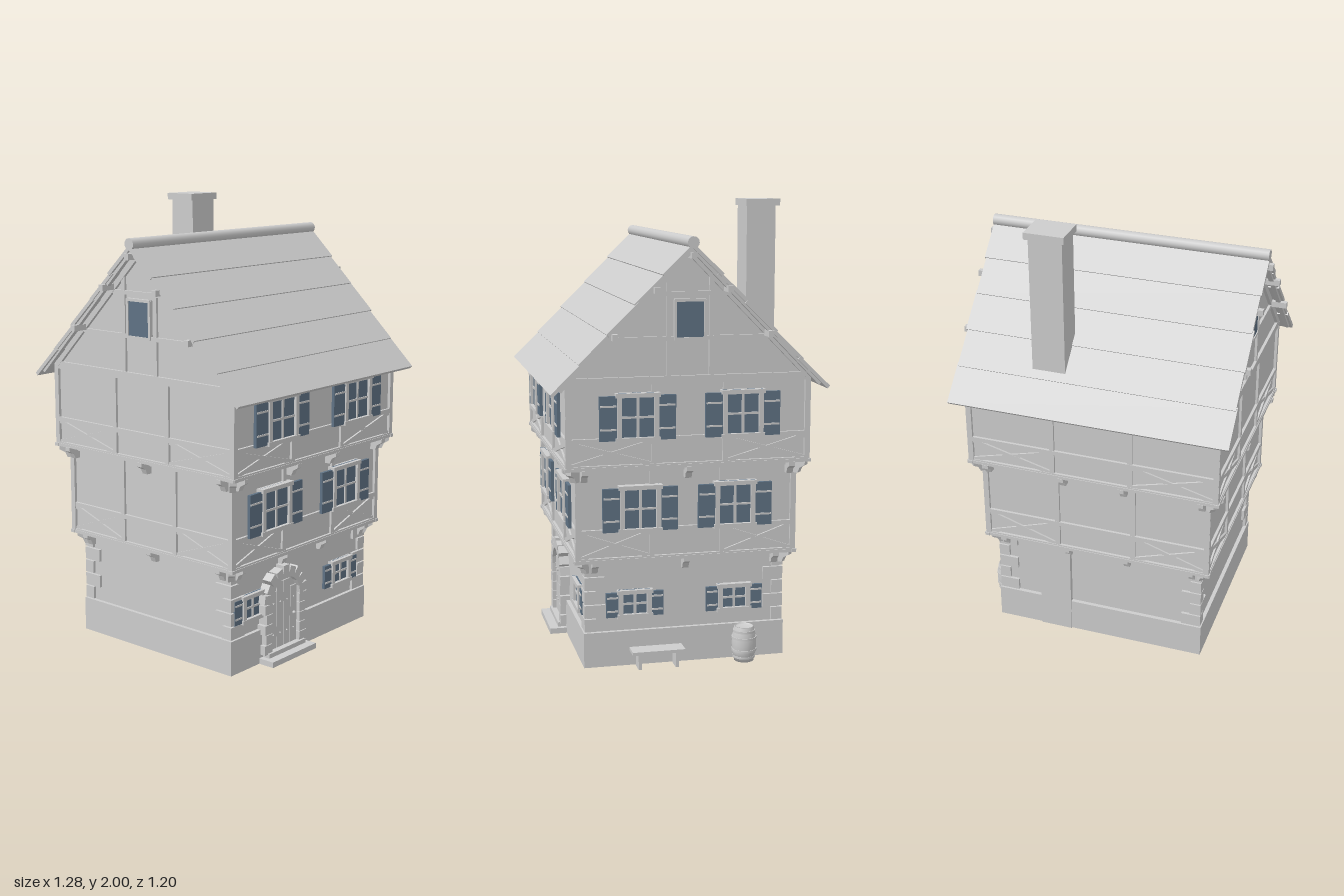
import * as THREE from 'three';

const stone = new THREE.MeshStandardMaterial({ color: 0xcccccc });
stone.name = 'pale grey';
const blue = new THREE.MeshStandardMaterial({ color: 0x5f7284 });
blue.name = 'slate blue';

function add(parent, name, geometry, mat = stone, x = 0, y = 0, z = 0) {
  const mesh = new THREE.Mesh(geometry, mat);
  mesh.name = name;
  mesh.position.set(x, y, z);
  parent.add(mesh);
  return mesh;
}
const box = (parent, name, w, h, d, x, y, z, mat) =>
  add(parent, name, new THREE.BoxGeometry(w, h, d), mat, x, y, z);

function group(parent, name, x = 0, y = 0, z = 0) {
  const g = new THREE.Group();
  g.name = name;
  g.position.set(x, y, z);
  parent.add(g);
  return g;
}

// Straight timber between two points on a facade
function beam(parent, name, x1, y1, x2, y2, z, width = 0.02, depth = 0.02) {
  const length = Math.hypot(x2 - x1, y2 - y1);
  const m = box(parent, name, length, width, depth, (x1 + x2) / 2, (y1 + y2) / 2, z);
  m.rotation.z = Math.atan2(y2 - y1, x2 - x1);
}

// Four facades; local x runs along the wall, local z points outwards
function facades(parent, hx, hz, build) {
  ['front', 'left', 'back', 'right'].forEach((side, i) => {
    const g = group(parent, side + 'Facade');
    g.rotation.y = i * Math.PI / 2;
    build(g, i % 2 ? hz : hx, i % 2 ? hx : hz, i);
  });
}

// Framed window with glazing bars and a pair of banded shutters
function shutteredWindow(parent, x, y, z, w, h, shutter) {
  const g = group(parent, 'window', x, y, z);
  box(g, 'glass', w, h, 0.008, 0, 0, 0.006, blue);
  for (const s of [-1, 1]) {
    box(g, 'frameSide', 0.02, h, 0.03, s * (w / 2 - 0.01), 0, 0.008);
    box(g, 'frameRail', w + 0.012, 0.018, 0.036, 0, s * (h / 2 - 0.009), 0.008);
    const sx = s * (w / 2 + shutter / 2);
    box(g, 'shutter', shutter, h - 0.016, 0.014, sx, -0.003, 0.009, blue);
    for (const t of [-1, 1])
      box(g, 'shutterBand', shutter - 0.006, 0.008, 0.004, sx, t * h * 0.24, 0.017);
  }
  box(g, 'mullion', 0.011, h, 0.01, 0, 0, 0.01);
  box(g, 'transom', w, 0.009, 0.01, 0, 0, 0.01);
}

// Tapered bracket under a jetty
const bracketShape = new THREE.Shape([[-0.01, 0], [0.055, 0], [0.055, -0.018], [0.03, -0.032], [0.02, -0.055], [-0.01, -0.055]]
  .map(([a, b]) => new THREE.Vector2(a, b)));
const bracketGeometry = new THREE.ExtrudeGeometry(bracketShape, { depth: 0.028, bevelEnabled: false });
bracketGeometry.translate(0, 0, -0.014).rotateY(-Math.PI / 2);

function jettyBrackets(parent, hx, hz, y) {
  facades(parent, hx, hz, (g, w, d, i) => {
    for (const x of i % 2 ? [-w + 0.03, 0, w - 0.03] : [-w + 0.03, -0.14, 0.14, w - 0.03])
      add(g, 'bracket', bracketGeometry, stone, x, y, d);
  });
  for (const sx of [-1, 1]) for (const sz of [-1, 1]) {
    const b = add(parent, 'cornerBracket', bracketGeometry, stone, sx * hx, y, sz * hz);
    b.rotation.y = Math.atan2(sx, sz);
  }
}

// Timber-framed storey with crossed braces below the rail
function storey(parent, name, hx, hz, y0, rail, y1, win) {
  const g = group(parent, name);
  const h = y1 - y0;
  box(g, 'wall', 2 * hx - 0.024, h, 2 * hz - 0.024, 0, y0 + h / 2, 0);
  facades(g, hx, hz, (f, w, d, i) => {
    const z = d - 0.01, px = i % 2 ? 0.155 : 0.178;
    for (const y of [y0 + 0.011, rail, y1 - 0.011]) box(f, 'rail', 2 * w, 0.02, 0.02, 0, y, z);
    box(f, 'sill', 2 * w + 0.012, 0.014, 0.02, 0, y0 + 0.007, z + 0.003);
    for (const s of [-1, 1]) {
      box(f, 'cornerPost', 0.024, h, 0.022, s * (w - 0.012), y0 + h / 2, z);
      box(f, 'post', 0.022, h, 0.018, s * px, y0 + h / 2, z);
      const a = s * (px + 0.01), b = s * (w - 0.022);
      beam(f, 'brace', a, y0 + 0.02, b, rail - 0.01, z - 0.001, 0.018, 0.016);
      beam(f, 'brace', a, rail - 0.01, b, y0 + 0.02, z - 0.002, 0.018, 0.016);
      if (i < 2) shutteredWindow(f, s * (i ? win.side : win.front), win.y, d, i ? 0.178 : 0.2, 0.205, i ? 0.074 : 0.08);
    }
  });
}

function groundFloor(parent) {
  const g = group(parent, 'groundFloor');
  box(g, 'plinth', 0.985, 0.155, 0.895, 0, 0.0775, 0);
  box(g, 'wall', 0.95, 0.34, 0.86, 0, 0.315, 0);
  // Alternating corner stones
  for (const sx of [-1, 1]) for (const sz of [-1, 1]) for (let i = 0; i < 5; i++) {
    const w = i % 2 ? 0.05 : 0.09, d = i % 2 ? 0.09 : 0.05;
    box(g, 'cornerStone', w, 0.056, d, sx * (0.488 - w / 2), 0.187 + i * 0.062, sz * (0.443 - d / 2));
  }
  facades(g, 0.475, 0.43, (f, w, d, i) => {
    if (i === 0) for (const x of [-0.342, 0.3]) shutteredWindow(f, x, 0.275, d, 0.145, 0.125, 0.052);
    if (i === 1) for (const x of [-0.222, 0.222]) shutteredWindow(f, x, 0.275, d, 0.145, 0.125, 0.054);
  });
  jettyBrackets(g, 0.475, 0.43, 0.478);
}

function entrance(parent) {
  const g = group(parent, 'entrance', -0.147, 0, 0);
  // Arched plank door
  const s = new THREE.Shape();
  s.moveTo(-0.1, 0.04);
  s.lineTo(0.1, 0.04);
  s.lineTo(0.1, 0.265);
  s.absarc(0, 0.265, 0.1, 0, Math.PI, false);
  add(g, 'door', new THREE.ExtrudeGeometry(s, { depth: 0.03, bevelEnabled: false }), stone, 0, 0, 0.422);
  for (let i = 0; i < 4; i++)
    box(g, 'plank', 0.045, i % 3 ? 0.305 : 0.265, 0.008, -0.072 + i * 0.048, i % 3 ? 0.195 : 0.175, 0.454);
  for (const y of [0.11, 0.255]) for (let i = 0; i < 4; i++) {
    const stud = add(g, 'stud', new THREE.CylinderGeometry(0.004, 0.004, 0.008, 8), stone, -0.072 + i * 0.048, y, 0.46);
    stud.rotation.x = Math.PI / 2;
  }
  add(g, 'doorKnob', new THREE.SphereGeometry(0.008, 10, 8), stone, 0.07, 0.18, 0.464);
  // Stone surround
  for (const sx of [-1, 1]) for (let i = 0; i < 5; i++) {
    const w = i % 2 ? 0.042 : 0.052;
    box(g, 'jambStone', w, 0.043, 0.06, sx * (0.096 + w / 2), 0.062 + i * 0.046, 0.445);
  }
  for (let i = 0; i < 9; i++) {
    const a = Math.PI * (i + 0.5) / 9;
    const r = i % 2 ? 0.121 : 0.125;
    const v = box(g, 'archStone', i % 2 ? 0.048 : 0.056, 0.04, 0.06, r * Math.cos(a), 0.268 + r * Math.sin(a), 0.445);
    v.rotation.z = a;
  }
  box(g, 'lowerStep', 0.31, 0.025, 0.1, 0, 0.0125, 0.475);
  box(g, 'upperStep', 0.26, 0.02, 0.06, 0, 0.035, 0.455);
}

function roof(parent) {
  const g = group(parent, 'roof');
  // Gable block beneath the tiles
  const tri = new THREE.Shape([new THREE.Vector2(-0.525, 1.255), new THREE.Vector2(0.525, 1.255), new THREE.Vector2(0, 1.8)]);
  const attic = new THREE.ExtrudeGeometry(tri, { depth: 1.12, bevelEnabled: false });
  attic.translate(0, 0, -0.56).rotateY(Math.PI / 2);
  add(g, 'gableWall', attic);
  // Five overlapping courses on each slope
  const angle = Math.atan2(0.123, 0.118);
  for (const s of [1, -1]) for (let i = 0; i < 5; i++) {
    const c = box(g, 'roofCourse', i % 2 ? 1.24 : 1.25, 0.016, 0.185, 0,
      1.822 - (i + 0.5) * 0.1205, s * (i + 0.5) * 0.117);
    c.rotation.x = s * (angle - 0.04);
  }
  const ridge = add(g, 'ridge', new THREE.CylinderGeometry(0.025, 0.025, 1.25, 16), stone, 0, 1.832, 0);
  ridge.rotation.z = Math.PI / 2;
  // Purlin ends poking past the gables
  for (const [y, z] of [[1.78, 0], [1.64, 0.155], [1.64, -0.155], [1.45, 0.332], [1.45, -0.332]])
    box(g, 'purlin', 1.285, 0.026, 0.024, 0, y, z);
  // Gable timbers and attic window
  for (const s of [-1, 1]) {
    const f = group(g, 'gableFrame');
    f.rotation.y = s * Math.PI / 2;
    const z = 0.562;
    box(f, 'tieBeam', 1.05, 0.022, 0.022, 0, 1.266, z);
    box(f, 'collar', 0.7, 0.018, 0.02, 0, 1.434, z);
    box(f, 'upperCollar', 0.35, 0.018, 0.02, 0, 1.62, z);
    for (const t of [-1, 1]) {
      beam(f, 'rafter', t * 0.515, 1.265, 0, 1.79, z, 0.026, 0.024);
      beam(f, 'bargeRafter', t * 0.56, 1.232, 0, 1.806, 0.604, 0.02, 0.02);
      box(f, 'stud', 0.02, 0.43, 0.018, t * 0.092, 1.48, z);
      box(f, 'windowFrame', 0.012, 0.165, 0.03, t * 0.064, 1.512, z);
      box(f, 'windowRail', 0.135, 0.012, 0.03, 0, 1.512 + t * 0.08, z);
    }
    box(f, 'atticGlass', 0.124, 0.156, 0.009, 0, 1.512, 0.568, blue);
  }
}

function barrel(parent) {
  const g = group(parent, 'barrel', 0.533, 0, -0.257);
  const pts = [[0, 0], [0.043, 0], [0.051, 0.04], [0.054, 0.078], [0.051, 0.115], [0.043, 0.155], [0.038, 0.155], [0.038, 0.148], [0, 0.148]];
  add(g, 'staves', new THREE.LatheGeometry(pts.map(p => new THREE.Vector2(...p)), 20));
  for (const [y, r] of [[0.02, 0.047], [0.05, 0.053], [0.105, 0.053], [0.135, 0.047]])
    add(g, 'hoop', new THREE.CylinderGeometry(r + 0.002, r + 0.002, 0.01, 20), stone, 0, y, 0);
}

export function createModel() {
  const house = new THREE.Group();
  house.name = 'timberHouse';
  groundFloor(house);
  entrance(house);
  storey(house, 'middleStorey', 0.53, 0.485, 0.475, 0.61, 0.888, { front: 0.253, side: 0.208, y: 0.708 });
  jettyBrackets(house, 0.525, 0.48, 0.888);
  storey(house, 'upperStorey', 0.573, 0.53, 0.886, 1.012, 1.265, { front: 0.27, side: 0.227, y: 1.11 });
  roof(house);

  // Chimney rising from the ground through the back slope
  box(house, 'chimney', 0.148, 1.97, 0.13, 0.208, 0.985, -0.388);
  box(house, 'chimneyCap', 0.176, 0.03, 0.152, 0.208, 1.985, -0.393);

  // Bench beside the wall
  const bench = group(house, 'bench', 0.535, 0, 0.133);
  box(bench, 'seat', 0.08, 0.014, 0.232, 0, 0.075, 0);
  for (const s of [-1, 1]) box(bench, 'benchLeg', 0.06, 0.07, 0.014, 0, 0.035, s * 0.082);
  barrel(house);
  return house;
}
